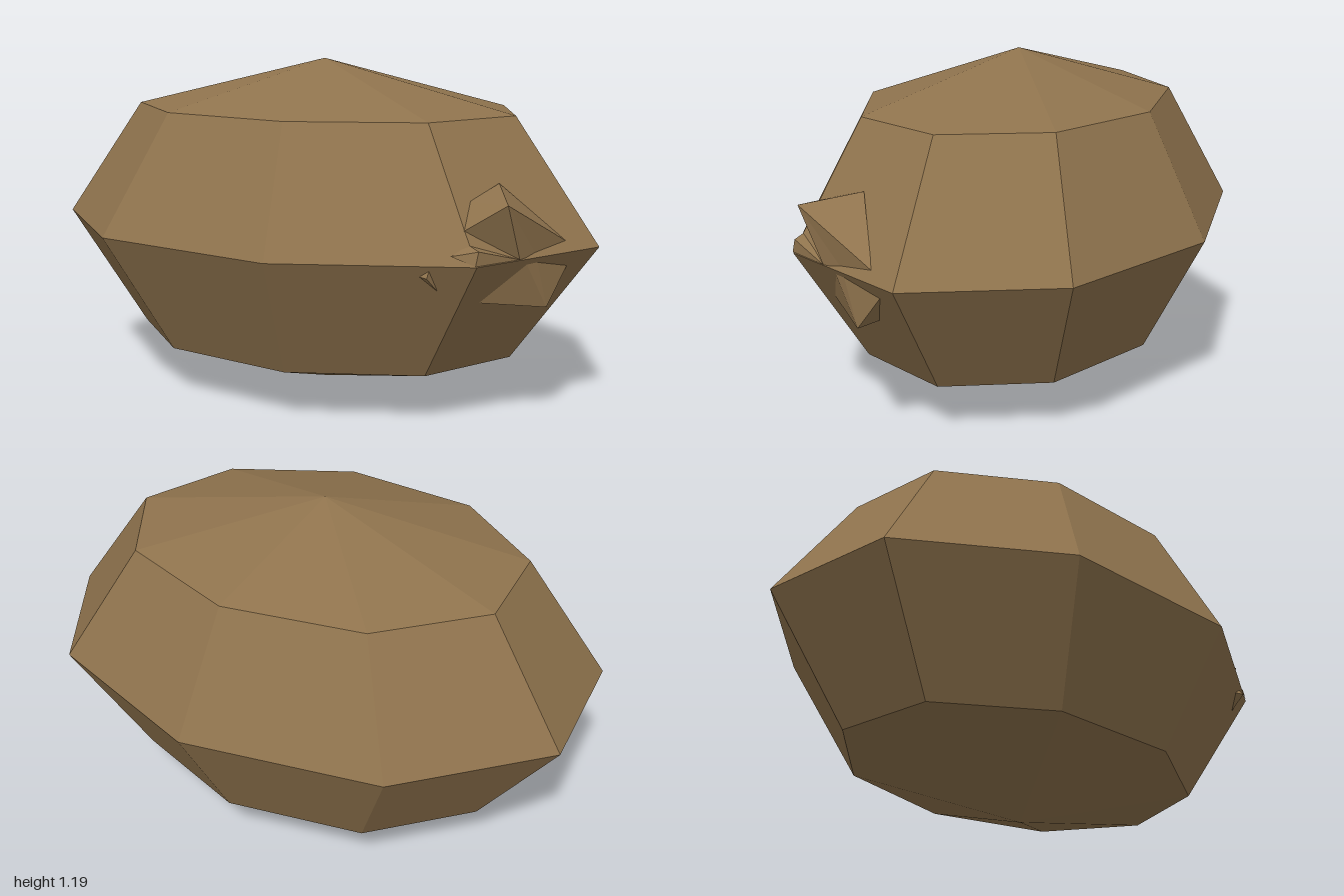
import * as THREE from 'three';

// Jagged chip: a faceted cone from an apex to a loop (counter-clockwise from outside)
function chip(name, apex, loop, material) {
  const points = [];
  loop.forEach((p, i) => points.push(...apex, ...p, ...loop[(i + 1) % loop.length]));
  const geometry = new THREE.BufferGeometry();
  geometry.setAttribute('position', new THREE.Float32BufferAttribute(points, 3));
  geometry.computeVertexNormals();
  const mesh = new THREE.Mesh(geometry, material);
  mesh.name = name;
  return mesh;
}

export function createModel() {
  const group = new THREE.Group();
  group.name = 'boulder';
  const stone = new THREE.MeshStandardMaterial({ color: 0x8f734d, flatShading: true });
  stone.name = 'brown stone';

  // Main stone: nine-sided squashed ball with one corner towards +x
  const ball = new THREE.SphereGeometry(1, 9, 4);
  ball.rotateY(Math.PI);
  ball.scale(1.031, 0.594, 0.752);
  ball.translate(-0.031, 0.597, 0);
  const body = new THREE.Mesh(ball, stone);
  body.name = 'stoneBody';
  group.add(body);

  // Shared notch points between the chips
  const notchFront = [0.84, 0.6, 0.325];
  const notchBack = [0.865, 0.605, 0.245];

  // Upper chip
  group.add(chip('upperChip', [0.83, 0.785, 0.415], [
    [0.73, 0.822, 0.23], [0.685, 0.78, 0.365], [0.7, 0.7, 0.45],
    notchFront, notchBack, [0.92, 0.63, 0.11],
  ], stone));

  // Lower chip
  group.add(chip('lowerChip', [0.885, 0.42, 0.185], [
    [0.92, 0.55, 0.08], notchBack, [0.835, 0.625, 0.305],
    [0.705, 0.455, 0.37], [0.785, 0.42, 0.15],
  ], stone));

  // Side splinter across the front edge
  group.add(chip('sideSplinter', [0.76, 0.645, 0.475], [
    [0.72, 0.66, 0.46], [0.68, 0.628, 0.505], [0.755, 0.6, 0.487], notchFront,
  ], stone));

  // Tiny splinter on the front
  group.add(chip('tinySplinter', [0.62, 0.56, 0.55], [
    [0.59, 0.56, 0.535], [0.63, 0.51, 0.49], [0.62, 0.59, 0.525],
  ], stone));

  return group;
}
